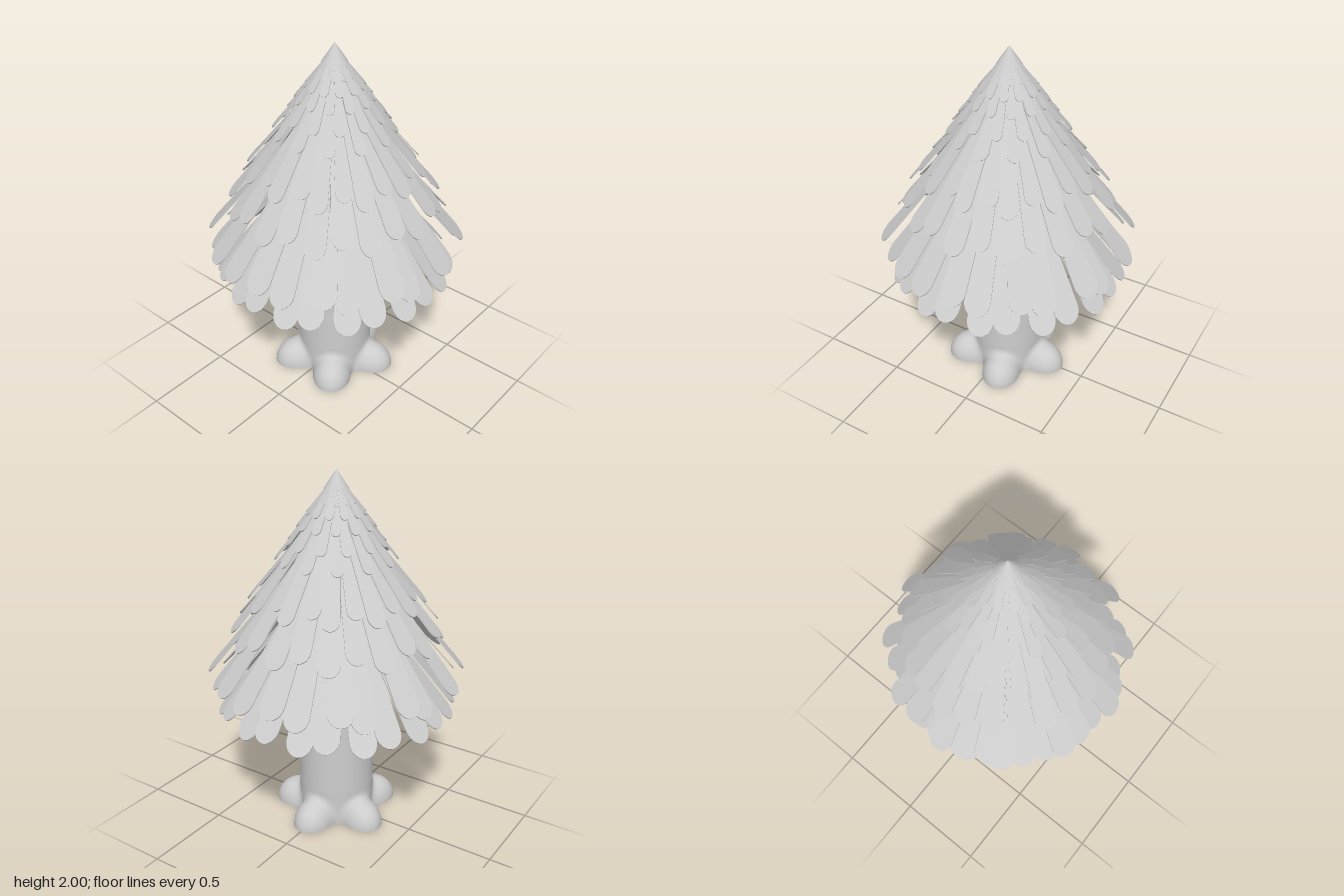
import * as THREE from 'three';

const grey = new THREE.MeshStandardMaterial({ color: 0xcccccc, side: THREE.DoubleSide });
const deg = Math.PI / 180;

// Trunk radius at height y
const trunkRadius = y => 0.214 - 0.03 * Math.max(0, y - 0.2);

// Signed field of the trunk softly joined with the nearest of five domed roots
function trunkField(r, a, y) {
  const step = 72 * deg;
  const f = a - Math.round(a / step) * step;
  const root = 0.12 * (Math.hypot((r * Math.cos(f) - 0.22) / 0.145, r * Math.sin(f) / 0.112, y / 0.137) - 1);
  const trunk = r - trunkRadius(y), k = 0.04;
  const h = Math.max(k - Math.abs(trunk - root), 0) / k;
  return Math.min(trunk, root) - h * h * k / 4;
}

// Distance from the axis to the skin, by bisection
function skinRadius(a, y) {
  let lo = 0.12, hi = 0.5;
  for (let i = 0; i < 24; i++) {
    const mid = (lo + hi) / 2;
    if (trunkField(mid, a, y) < 0) lo = mid; else hi = mid;
  }
  return lo;
}

// Trunk and roots as one skin, open at the ground
function makeTrunk() {
  const rows = 32, rootRows = 24, rootTop = 0.2, top = 0.93;
  const geo = new THREE.CylinderGeometry(1, 1, 1, 180, rows, true);
  const pos = geo.attributes.position;
  for (let i = 0; i < pos.count; i++) {
    const row = Math.round((pos.getY(i) + 0.5) * rows);
    const y = row <= rootRows
      ? rootTop * row / rootRows
      : rootTop + (top - rootTop) * (row - rootRows) / (rows - rootRows);
    const a = Math.atan2(pos.getZ(i), pos.getX(i));
    const r = skinRadius(a, y);
    pos.setXYZ(i, r * Math.cos(a), y, r * Math.sin(a));
  }
  geo.computeVertexNormals();
  const trunk = new THREE.Mesh(geo, grey);
  trunk.name = 'trunkWithRoots';
  return trunk;
}

// Long flat leaf, narrow at its root and round at its tip, hanging outward along +z
function leafGeometry(length, width, slope) {
  const w = width / 2, n = w * 0.45;
  const shape = new THREE.Shape();
  shape.moveTo(-n, 0);
  shape.lineTo(-w * 0.97, -length + w * 1.4);
  shape.bezierCurveTo(-w * 1.06, -length + w * 0.6, -w * 0.6, -length, 0, -length);
  shape.bezierCurveTo(w * 0.6, -length, w * 1.06, -length + w * 0.6, w * 0.97, -length + w * 1.4);
  shape.lineTo(n, 0);
  shape.closePath();
  const geo = new THREE.ExtrudeGeometry(shape, { depth: 0.007, bevelEnabled: false, curveSegments: 10 });
  geo.translate(0, 0, -0.0035);
  geo.rotateX(-slope);
  return geo;
}

// One ring of leaves; tip radius and height, inner radius, rise per unit of radius
function makeTier({ r, y, rIn, rise, width, turn }, count = 12) {
  const tier = new THREE.Group();
  const dr = r - rIn, dy = dr * rise;
  const geo = leafGeometry(Math.hypot(dr, dy), width, Math.atan2(dr, dy));
  for (let i = 0; i < count; i++) {
    const pivot = new THREE.Group();
    pivot.rotation.y = (turn + i * 360 / count) * deg;
    const leaf = new THREE.Mesh(geo, grey);
    leaf.name = 'leaf';
    leaf.position.set(0, y + dy, rIn);
    pivot.add(leaf);
    tier.add(pivot);
  }
  return tier;
}

export function createModel() {
  const model = new THREE.Group();
  model.add(makeTrunk());

  // Leaf tiers from top to bottom
  const tiers = [
    { r: 0.11, y: 1.83, rIn: 0.02, rise: 1.3, width: 0.04, turn: 8 },
    { r: 0.16, y: 1.77, rIn: 0.02, rise: 1.25, width: 0.045, turn: 20 },
    { r: 0.21, y: 1.70, rIn: 0.02, rise: 1.25, width: 0.05, turn: 3 },
    { r: 0.27, y: 1.61, rIn: 0.03, rise: 1.25, width: 0.06, turn: 16 },
    { r: 0.33, y: 1.525, rIn: 0.03, rise: 1.22, width: 0.07, turn: 5 },
    { r: 0.44, y: 1.335, rIn: 0.04, rise: 1.2, width: 0.09, turn: 17 },
    { r: 0.485, y: 1.295, rIn: 0.05, rise: 1.2, width: 0.10, turn: 0 },
    { r: 0.575, y: 1.15, rIn: 0.06, rise: 1.2, width: 0.115, turn: 14.5 },
    { r: 0.585, y: 1.09, rIn: 0.07, rise: 1.2, width: 0.12, turn: 0 },
    { r: 0.715, y: 0.885, rIn: 0.09, rise: 1.2, width: 0.14, turn: 5.6 },
    { r: 0.69, y: 0.83, rIn: 0.10, rise: 1.2, width: 0.14, turn: 16 },
    { r: 0.665, y: 0.71, rIn: 0.12, rise: 1.22, width: 0.145, turn: -1 },
    { r: 0.665, y: 0.68, rIn: 0.13, rise: 1.22, width: 0.145, turn: 16.5 },
  ];
  tiers.forEach((t, i) => {
    const tier = makeTier(t);
    tier.name = `leafTier${i + 1}`;
    model.add(tier);
  });

  // Pointed cap over the leaf roots
  const profile = [[0.068, 1.9], [0.034, 1.951], [0, 2]].map(p => new THREE.Vector2(...p));
  const cap = new THREE.Mesh(new THREE.LatheGeometry(profile, 32), grey);
  cap.name = 'treeTip';
  model.add(cap);

  return model;
}
